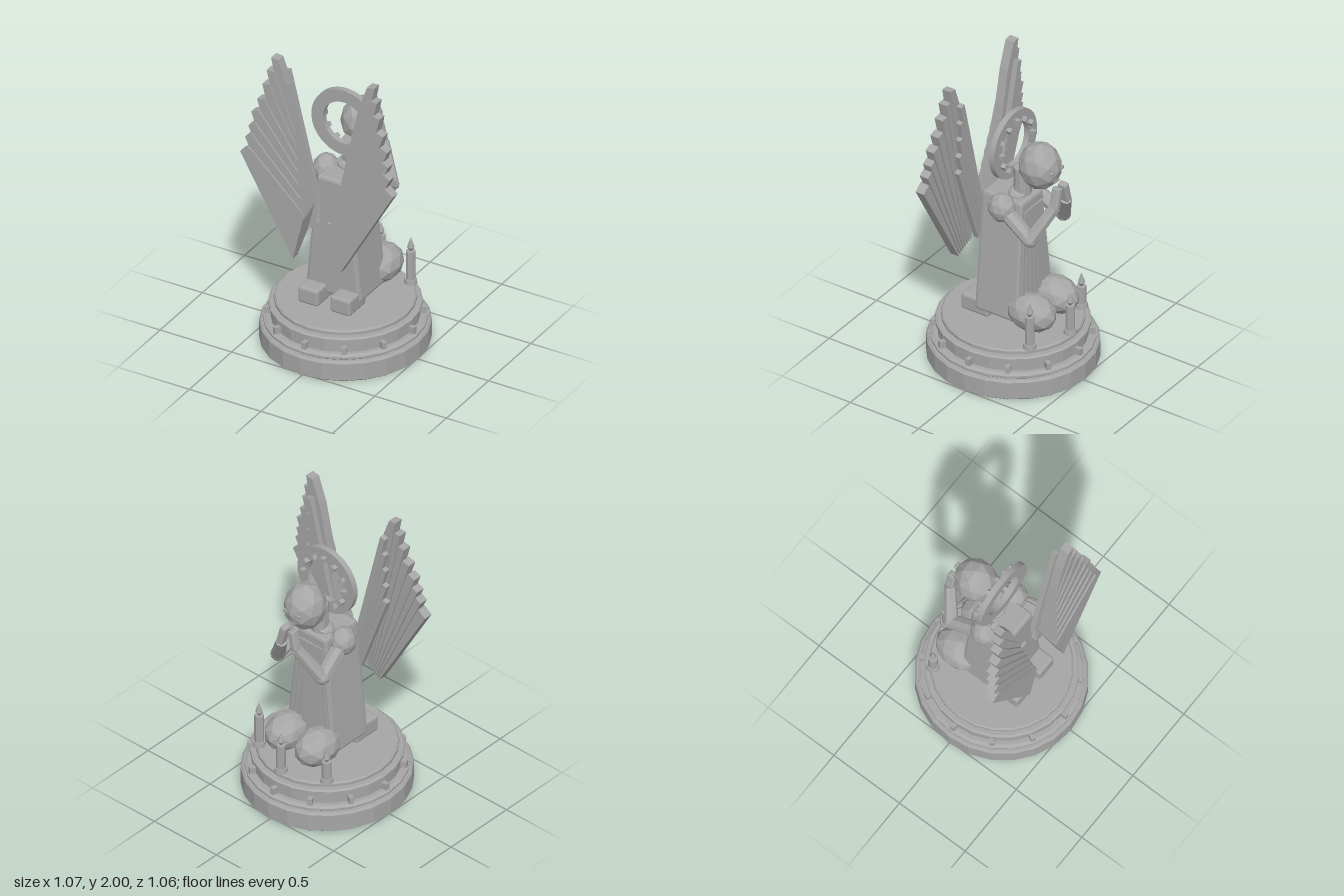
import * as THREE from 'three';
import { RoundedBoxGeometry } from 'three/addons/geometries/RoundedBoxGeometry.js';

export function createModel() {
  const root = new THREE.Group();
  root.name = 'kneelingWingedStatue';
  const stone = new THREE.MeshStandardMaterial({ color: 0xa6a6a6, flatShading: true });
  stone.name = 'stone grey';
  const V = (x, y, z) => new THREE.Vector3(x, y, z);
  const lerp = THREE.MathUtils.lerp;

  function add(name, geo, x = 0, y = 0, z = 0, parent = root) {
    const m = new THREE.Mesh(geo, stone);
    m.name = name;
    m.position.set(x, y, z);
    parent.add(m);
    return m;
  }
  function group(name) {
    const g = new THREE.Group();
    g.name = name;
    root.add(g);
    return g;
  }
  const box = (w, h, d, r) => r ? new RoundedBoxGeometry(w, h, d, 1, r) : new THREE.BoxGeometry(w, h, d);
  // low-poly ball stretched to three radii
  const ball = (rx, ry, rz) => new THREE.IcosahedronGeometry(1, 1).scale(rx, ry, rz);
  // lay a mesh with a y-axis between two points
  function between(mesh, a, b) {
    mesh.position.copy(a).add(b).multiplyScalar(0.5);
    mesh.quaternion.setFromUnitVectors(V(0, 1, 0), b.clone().sub(a).normalize());
    return mesh;
  }

  // Stepped round plinth
  const plinth = group('plinth');
  plinth.scale.x = 0.975;
  const profile = [
    [0, 0], [0.515, 0], [0.53, 0.012], [0.53, 0.125], [0.518, 0.138],
    [0.498, 0.138], [0.508, 0.146], [0.508, 0.16], [0.488, 0.172],
    [0.462, 0.172], [0.462, 0.235], [0.475, 0.242], [0.475, 0.262], [0.462, 0.27],
    [0.43, 0.27], [0.44, 0.276], [0.44, 0.295], [0.43, 0.305], [0, 0.305],
  ].map(([x, y]) => new THREE.Vector2(x, y));
  add('steppedBase', new THREE.LatheGeometry(profile, 24), 0, 0, 0, plinth);
  for (let i = 0; i < 12; i++) {
    const a = i * Math.PI / 6;
    add('baseStud', box(0.03, 0.045, 0.05), Math.sin(a) * 0.475, 0.197, Math.cos(a) * 0.475, plinth).rotation.y = a;
  }

  // Robe: box tapering towards the shoulders
  const robe = box(0.39, 0.815, 0.31, 0.02);
  const p = robe.attributes.position;
  for (let i = 0; i < p.count; i++) {
    const t = p.getY(i) / 0.815 + 0.5;
    p.setX(i, p.getX(i) * lerp(1, 0.57, t));
    if (p.getZ(i) < 0) p.setZ(i, p.getZ(i) * lerp(1.04, 0.9, t));
  }
  add('robe', robe, 0, 0.778, -0.002);
  for (let i = -3; i <= 3; i++) {
    const a = V(i * 0.05, 0.39, -0.162), b = V(i * 0.027, 1.12, -0.142);
    between(add('robePleat', box(0.024, a.distanceTo(b), 0.025)), a, b);
  }
  add('backClasp', box(0.06, 0.05, 0.024), 0, 0.855, 0.158);

  // Neck, head and face, looking towards -z
  add('neck', new THREE.CylinderGeometry(0.052, 0.055, 0.2, 10), 0, 1.27, -0.067);
  add('collar', ball(0.085, 0.04, 0.07), 0, 1.19, -0.05);
  add('head', ball(0.13, 0.155, 0.137), 0, 1.43, -0.197);
  for (const s of [-1, 1]) add('eye', box(0.035, 0.018, 0.025), s * 0.048, 1.435, -0.315);
  add('mouth', box(0.045, 0.014, 0.02), 0, 1.365, -0.313);

  // Halo ring with studs
  const halo = group('halo');
  halo.position.set(0, 1.517, 0);
  const ring = new THREE.Shape().absarc(0, 0, 0.227, 0, Math.PI * 2);
  ring.holes.push(new THREE.Path().absarc(0, 0, 0.145, 0, Math.PI * 2, true));
  add('haloRing', new THREE.ExtrudeGeometry(ring, { depth: 0.037, bevelEnabled: false, curveSegments: 28 }), 0, 0, -0.017, halo);
  for (let i = 0; i < 12; i++) {
    const a = i * Math.PI / 6;
    add('haloStud', box(0.028, 0.03, 0.034), Math.sin(a) * 0.165, Math.cos(a) * 0.165, -0.032, halo).rotation.z = -a;
  }

  // Wing feather: flat blade from root to tip
  function blade(name, pts, s, zFront, depth, parent) {
    const shape = new THREE.Shape(pts.map(([x, y]) => new THREE.Vector2(x * s, y)));
    add(name, new THREE.ExtrudeGeometry(shape, { depth, bevelEnabled: false }), 0, 0, zFront - depth, parent);
  }
  const tips = [
    [0.533, 1.325], [0.505, 1.43], [0.488, 1.51], [0.475, 1.605],
    [0.44, 1.7], [0.41, 1.81], [0.385, 1.91], [0.36, 2.0],
  ];

  for (const s of [-1, 1]) {
    const side = s > 0 ? 'left' : 'right';
    const wing = group(side + 'Wing');
    tips.forEach(([x, y], i) => {
      const t = i / 7;
      blade('feather', [
        [x, y],
        [lerp(0.165, 0.14, t), lerp(0.68, 0.82, t)],
        [0.093, lerp(0.98, 1.02, t)],
        [lerp(0.11, 0.2, t), lerp(1.03, 1.6, t)],
        [lerp(0.46, 0.25, t), lerp(1.36, 1.83, t)],
        [x - 0.05, y + lerp(0.04, -0.005, t)],
      ], s, 0.345 - i * 0.0107, 0.06, wing);
    });
    // slender inner feathers
    for (let i = 0; i < 5; i++) {
      const x = 0.327 - i * 0.002, y = 1.4 + i * 0.12, r = 0.83 + i * 0.04;
      blade('innerFeather', [
        [x, y], [0.12, r], [0.075, r + 0.05], [x - 0.035, y + 0.01],
      ], s, 0.206 - i * 0.003, 0.035, wing);
    }

    // Kneeling leg
    add(side + 'Knee', ball(0.125, 0.12, 0.165), s * 0.122, 0.448, -0.222);
    add(side + 'Foot', box(0.14, 0.11, 0.2, 0.015), s * 0.112, 0.382, 0.16);

    // Arm raised in prayer
    const arm = group(side + 'Arm');
    const shoulder = V(s * 0.147, 1.14, -0.02), elbow = V(s * 0.178, 1.005, -0.245);
    const wrist = V(s * 0.06, 1.215, -0.345), hand = V(s * 0.03, 1.335, -0.345);
    add('shoulder', ball(0.082, 0.095, 0.09), ...shoulder.toArray(), arm);
    add('elbow', ball(0.047, 0.047, 0.047), ...elbow.toArray(), arm);
    between(add('upperArm', new THREE.CylinderGeometry(0.045, 0.05, shoulder.distanceTo(elbow), 8), 0, 0, 0, arm), shoulder, elbow);
    between(add('forearm', new THREE.CylinderGeometry(0.037, 0.045, elbow.distanceTo(wrist), 8), 0, 0, 0, arm), elbow, wrist);
    between(add('hand', box(0.045, 0.14, 0.06, 0.012), 0, 0, 0, arm), wrist, hand);
  }

  // Candles: x, z, top of wax, top of flame
  for (const [x, z, top, tip] of [[-0.273, -0.31, 0.455, 0.55], [0, -0.417, 0.505, 0.59], [0.273, -0.31, 0.53, 0.625]]) {
    const c = group('candle');
    c.position.set(x, 0, z);
    add('holder', new THREE.CylinderGeometry(0.038, 0.042, 0.03, 10), 0, 0.32, 0, c);
    add('wax', new THREE.CylinderGeometry(0.03, 0.03, top - 0.305, 8), 0, (top + 0.305) / 2, 0, c);
    const flame = [[0, top], [0.008, top], [0.024, top + 0.025], [0, tip]].map(([r, y]) => new THREE.Vector2(r, y));
    add('flame', new THREE.LatheGeometry(flame, 6), 0, 0, 0, c);
  }
  return root;
}
